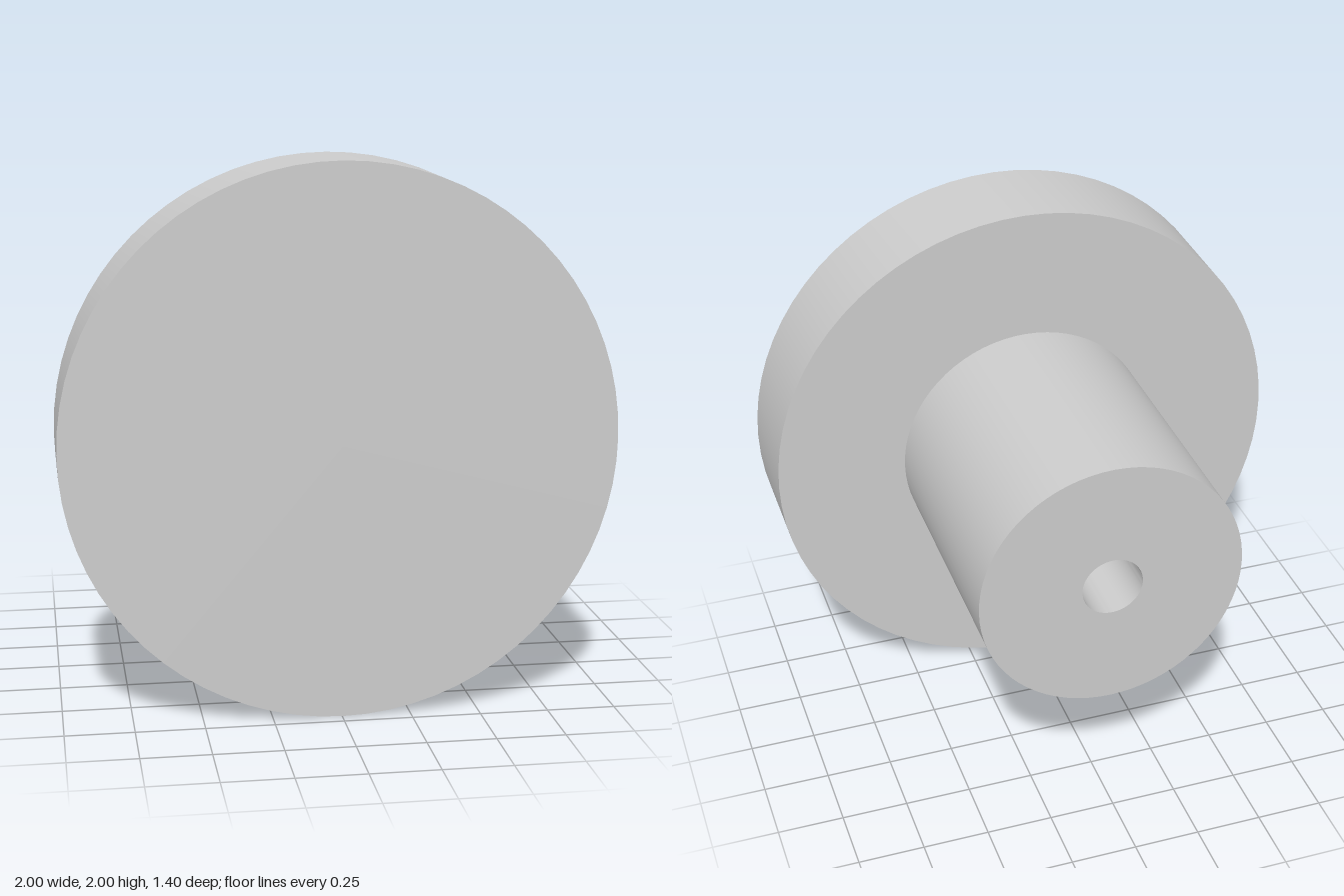
import * as THREE from 'three';
import { toCreasedNormals } from 'three/addons/utils/BufferGeometryUtils.js';

const material = new THREE.MeshStandardMaterial({ color: 0xcccccc });

// Turn a [radius, z] profile about the z axis, keeping its corners sharp.
function turned(name, profile) {
  const points = profile.map(([r, z]) => new THREE.Vector2(r, z));
  const geometry = new THREE.LatheGeometry(points, 72).rotateX(Math.PI / 2);
  const mesh = new THREE.Mesh(toCreasedNormals(geometry, Math.PI / 6), material);
  mesh.name = name;
  mesh.position.y = 1;
  return mesh;
}

export function createModel() {
  const group = new THREE.Group();
  group.name = 'knob';

  const holeRadius = 0.115;
  const holeEnd = 0.1;

  // Wide disc at the front
  group.add(turned('head', [[0.5, 0.3], [1, 0.3], [1, 0.7], [0, 0.7]]));

  // Round stem with a blind hole in its rear end
  group.add(turned('stem', [
    [0, holeEnd], [holeRadius, holeEnd], [holeRadius, -0.7], [0.5, -0.7], [0.5, 0.3],
  ]));

  return group;
}
